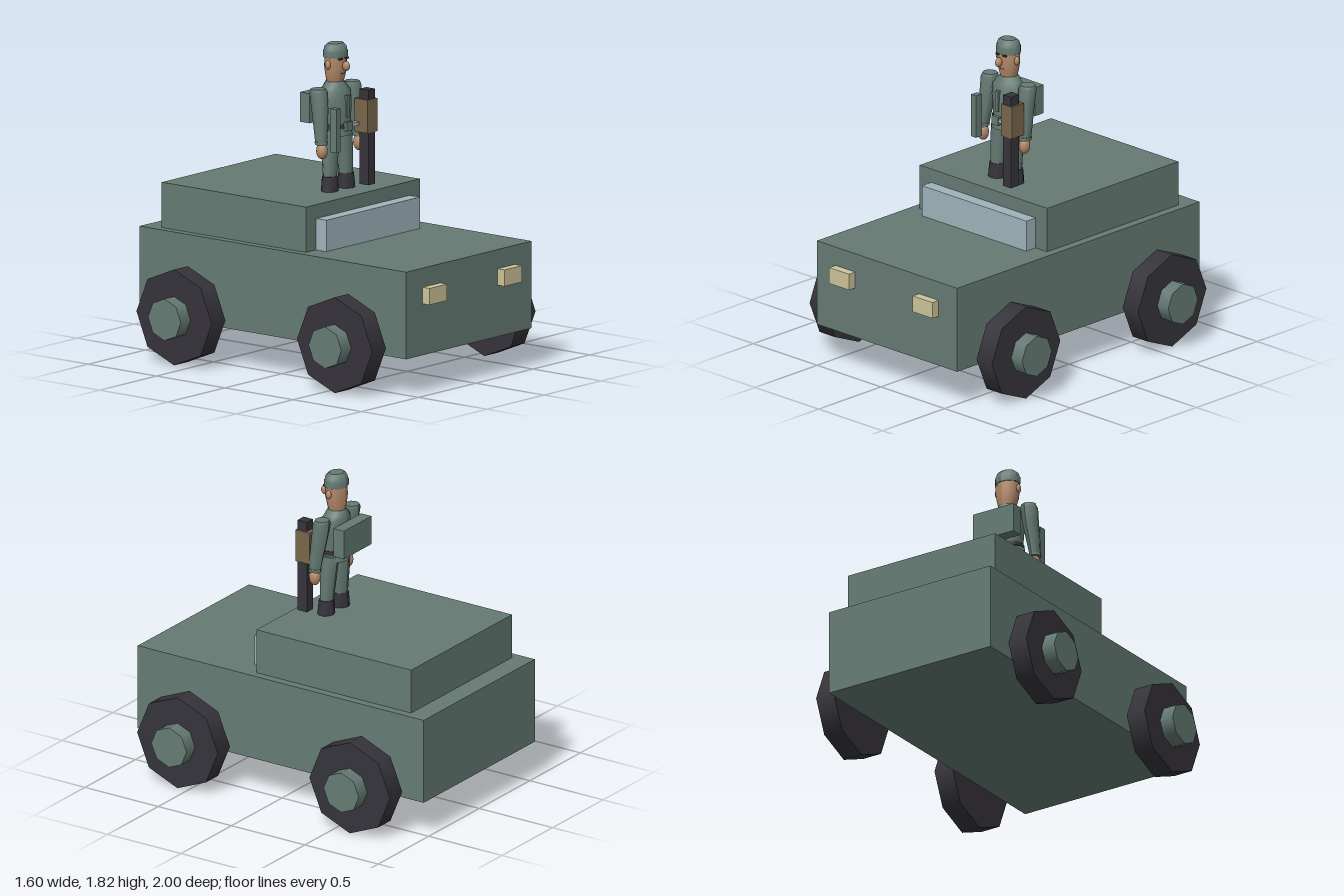
import * as THREE from 'three';

const paint = (name, color) => {
  const m = new THREE.MeshStandardMaterial({ color });
  m.name = name;
  return m;
};

export function createModel() {
  const green = paint('army green', 0x657b73);
  const dark = paint('dark rubber', 0x36343b);
  const glass = paint('pale glass', 0x9fb4bc);
  const cream = paint('lamp cream', 0xcdc49a);
  const brown = paint('wood brown', 0x7a664b);
  const skin = paint('skin', 0xb58a69);

  const model = new THREE.Group();
  model.name = 'soldierOnTruck';
  const truck = new THREE.Group();
  truck.name = 'truck';
  const soldier = new THREE.Group();
  soldier.name = 'soldier';
  model.add(truck, soldier);

  const add = (parent, name, geometry, material) => {
    const mesh = new THREE.Mesh(geometry, material);
    mesh.name = name;
    parent.add(mesh);
    return mesh;
  };

  // Box given by its extents on each axis
  const box = (parent, name, material, [x0, x1], [y0, y1], [z0, z1]) => {
    const g = new THREE.BoxGeometry(x1 - x0, y1 - y0, z1 - z0);
    g.translate((x0 + x1) / 2, (y0 + y1) / 2, (z0 + z1) / 2);
    return add(parent, name, g, material);
  };

  const ball = (parent, name, material, pos, size) => {
    const mesh = add(parent, name, new THREE.SphereGeometry(1, 12, 8), material);
    mesh.position.set(...pos);
    mesh.scale.set(...size);
    return mesh;
  };

  // Closed loft through elliptical rings, top to bottom: [y, centreX, centreZ, radiusX, radiusZ]
  const loft = (parent, name, material, rings, sides = 10) => {
    const n = rings.length - 1;
    const g = new THREE.CylinderGeometry(1, 1, 1, sides, n, false, Math.PI);
    const p = g.attributes.position;
    for (let i = 0; i < p.count; i++) {
      const [y, cx, cz, rx, rz] = rings[Math.round((0.5 - p.getY(i)) * n)];
      p.setXYZ(i, cx + p.getX(i) * rx, y, cz + p.getZ(i) * rz);
    }
    g.computeVertexNormals();
    return add(parent, name, g, material);
  };

  // Truck body
  box(truck, 'hull', green, [-0.55, 0.55], [0.22, 0.72], [-1, 0.95]);
  box(truck, 'cabin', green, [-0.5, 0.5], [0.72, 0.98], [-0.88, 0.175]);
  box(truck, 'windshield', glass, [-0.41, 0.41], [0.72, 0.9], [0.175, 0.25]);

  // Headlights, wheels and hubs
  for (const s of [-1, 1]) {
    const lamp = [s * 0.25, s * 0.405].sort((a, b) => a - b);
    box(truck, 'headlight', cream, lamp, [0.515, 0.61], [0.95, 1]);
    for (const z of [0.565, -0.61]) {
      const wheel = new THREE.Group();
      wheel.name = 'wheel';
      wheel.position.set(0, 0.275, z);
      truck.add(wheel);
      const disc = (name, mat, r, width, x) => {
        const g = new THREE.CylinderGeometry(r, r, width, 8);
        g.rotateZ(Math.PI / 2);
        add(wheel, name, g, mat).position.x = s * x;
      };
      disc('tyre', dark, 0.275, 0.12, 0.655);
      disc('hub', green, 0.12, 0.2, 0.7);
    }
  }

  // Coat with belt and flared hem
  loft(soldier, 'coat', green, [
    [1.6, 0, -0.03, 0.05, 0.052], [1.57, 0, -0.03, 0.08, 0.064], [1.54, 0, -0.025, 0.102, 0.072],
    [1.48, 0, -0.02, 0.1, 0.08], [1.37, 0, -0.015, 0.085, 0.076], [1.34, 0, -0.015, 0.085, 0.078],
    [1.295, 0, -0.015, 0.097, 0.085],
  ], 12);
  loft(soldier, 'belt', dark, [[1.363, 0, -0.015, 0.09, 0.082], [1.338, 0, -0.015, 0.091, 0.084]], 12);
  box(soldier, 'buckle', green, [-0.028, 0.022], [1.325, 1.375], [0.06, 0.082]);
  box(soldier, 'beltKnife', glass, [0.022, 0.085], [1.342, 1.362], [0.045, 0.075]);
  box(soldier, 'placket', green, [-0.01, 0.01], [1.4, 1.525], [0.045, 0.068]);

  // Limbs, mirrored
  for (const s of [-1, 1]) {
    loft(soldier, 'arm', green, [
      [1.575, s * 0.147, -0.03, 0.045, 0.042], [1.555, s * 0.148, -0.028, 0.052, 0.05],
      [1.46, s * 0.15, -0.015, 0.046, 0.049], [1.36, s * 0.158, -0.002, 0.04, 0.042],
      [1.27, s * 0.165, 0.007, 0.03, 0.036],
    ], 8);
    loft(soldier, 'cuff', green, [[1.28, s * 0.165, 0.007, 0.034, 0.039], [1.262, s * 0.165, 0.008, 0.034, 0.039]], 8);
    ball(soldier, 'hand', skin, [s * 0.162, 1.225, 0.01], [0.031, 0.048, 0.034]);
    loft(soldier, 'trouserLeg', green, [
      [1.33, s * 0.052, -0.018, 0.05, 0.055], [1.22, s * 0.062, -0.015, 0.052, 0.048],
      [1.05, s * 0.07, -0.008, 0.042, 0.037],
    ]);
    loft(soldier, 'boot', dark, [
      [1.065, s * 0.071, -0.008, 0.047, 0.042], [1.03, s * 0.072, -0.008, 0.05, 0.045],
      [0.98, s * 0.073, -0.007, 0.053, 0.048],
    ]);
    // Face details beside the nose
    ball(soldier, 'ear', skin, [s * 0.072, 1.7, -0.022], [0.013, 0.026, 0.018]);
    box(soldier, 'eye', dark, [s * 0.026 - 0.013, s * 0.026 + 0.013], [1.728, 1.738], [0.025, 0.04]);
  }

  // Head, nose, mouth and cap
  loft(soldier, 'head', skin, [
    [1.75, 0, -0.026, 0.07, 0.06], [1.68, 0, -0.026, 0.07, 0.062],
    [1.63, 0, -0.028, 0.06, 0.055], [1.58, 0, -0.03, 0.046, 0.045],
  ], 12);
  ball(soldier, 'nose', skin, [0, 1.692, 0.052], [0.018, 0.028, 0.024]);
  box(soldier, 'mouth', dark, [-0.014, 0.014], [1.645, 1.651], [0.025, 0.03]);
  loft(soldier, 'cap', green, [
    [1.817, 0, -0.026, 0.048, 0.04], [1.8, 0, -0.026, 0.068, 0.058], [1.78, 0, -0.026, 0.072, 0.062],
    [1.775, 0, -0.026, 0.077, 0.066], [1.738, 0, -0.026, 0.077, 0.066],
  ], 10);

  // Carried gear
  box(soldier, 'rifle', dark, [0.106, 0.167], [1, 1.545], [0.06, 0.125]);
  box(soldier, 'rifleStock', brown, [0.095, 0.18], [1.3, 1.49], [0.035, 0.13]);
  box(soldier, 'sidePouch', green, [-0.158, -0.12], [1.225, 1.476], [0.065, 0.112]);
  box(soldier, 'backpack', green, [-0.138, 0.136], [1.365, 1.535], [-0.17, -0.1]);

  return model;
}
